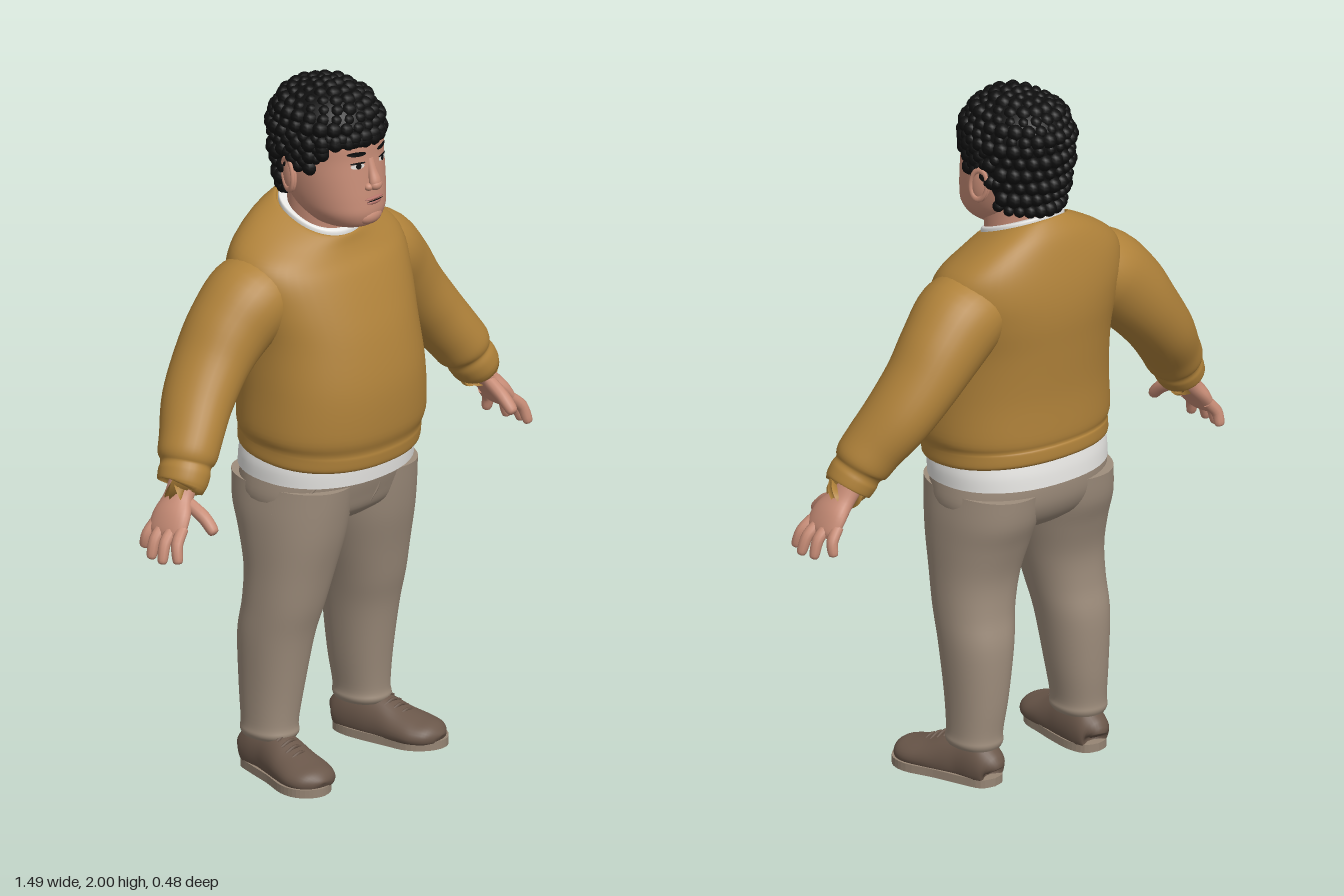
import * as THREE from 'three';
import { mergeGeometries } from 'three/addons/utils/BufferGeometryUtils.js';

const mat = (name, color, side = THREE.FrontSide) => {
  const m = new THREE.MeshStandardMaterial({ color, side });
  m.name = name;
  return m;
};
const V = (x, y, z) => new THREE.Vector3(x, y, z);

// Catmull-Rom interpolation of whole rows of numbers
function smooth(rows, n = 5) {
  const out = [], last = rows.length - 1;
  const at = i => rows[Math.max(0, Math.min(last, i))];
  for (let i = 0; i < last; i++) {
    for (let k = 0; k < n; k++) {
      const t = k / n, [a, b, c, d] = [at(i - 1), at(i), at(i + 1), at(i + 2)];
      out.push(b.map((q, j) => 0.5 * (2 * q + (c[j] - a[j]) * t
        + (2 * a[j] - 5 * q + 4 * c[j] - d[j]) * t * t + (3 * q - a[j] - 3 * c[j] + d[j]) * t ** 3)));
    }
  }
  out.push(rows[last]);
  return out;
}

// Surface through closed rings, with flat caps on both ends
function skinRings(rings) {
  const seg = rings[0].length, pos = [], idx = [];
  const add = p => pos.push(p.x, p.y, p.z) / 3 - 1;
  rings.forEach(r => r.forEach(add));
  for (let j = 0; j < rings.length - 1; j++) for (let i = 0; i < seg; i++) {
    const a = j * seg + i, b = j * seg + (i + 1) % seg;
    idx.push(a, b, b + seg, a, b + seg, a + seg);
  }
  [rings[0], rings[rings.length - 1]].forEach((r, end) => {
    const first = pos.length / 3;
    r.forEach(add);
    const c = add(r.reduce((s, p) => s.add(p), V(0, 0, 0)).divideScalar(seg));
    for (let i = 0; i < seg; i++) {
      const a = first + i, b = first + (i + 1) % seg;
      end ? idx.push(a, b, c) : idx.push(b, a, c);
    }
  });
  const g = new THREE.BufferGeometry();
  g.setAttribute('position', new THREE.Float32BufferAttribute(pos, 3));
  g.setIndex(idx);
  g.computeVertexNormals();
  return g;
}

const power = (c, e) => Math.sign(c) * Math.abs(c) ** (2 / e);

// Upright form; rows are [y, centreX, halfWidth, frontZ, backZ, tilt]
function tower(rows, e = 2.2, seg = 48) {
  return skinRings(smooth(rows).map(([y, cx, rx, zf, zb, tilt]) => Array.from({ length: seg }, (_, i) => {
    const a = i / seg * Math.PI * 2, dz = (zf - zb) / 2 * power(Math.cos(a), e);
    return V(cx + rx * power(Math.sin(a), e), y + tilt * dz, (zf + zb) / 2 + dz);
  })));
}

// Form along a path; rows are [x, y, z, radius along ref, radius across]
function limb(rows, { ref = V(0, 0, 1), seg = 24, floor = -1, n = 5 } = {}) {
  const s = smooth(rows, n), c = s.map(r => V(r[0], r[1], r[2]));
  return skinRings(s.map((r, j) => {
    const T = c[Math.min(j + 1, c.length - 1)].clone().sub(c[Math.max(j - 1, 0)]).normalize();
    const W = ref.clone().addScaledVector(T, -ref.dot(T)).normalize();
    const N = T.clone().cross(W);
    return Array.from({ length: seg }, (_, i) => {
      const a = i / seg * Math.PI * 2;
      const p = c[j].clone().addScaledVector(W, r[3] * Math.cos(a)).addScaledVector(N, r[4] * Math.sin(a));
      p.y = Math.max(p.y, floor);
      return p;
    });
  }));
}

const finger = (a, b, c, r) => limb([[...a, r, r], [...b, r, r], [...c, r * 0.85, r * 0.85],
  [...c.map((q, i) => q + (c[i] - b[i]) * 0.2), r * 0.3, r * 0.3]], { seg: 10, n: 4 });

const ball = (x, y, z, rx, ry, rz) => new THREE.SphereGeometry(1, 20, 14).scale(rx, ry, rz).translate(x, y, z);

const headRows = [[1.595, 0, 0.05, 0.125, 0, 0], [1.607, 0, 0.08, 0.155, -0.04, 0], [1.64, 0, 0.107, 0.17, -0.08, 0],
  [1.68, 0, 0.12, 0.169, -0.11, 0], [1.74, 0, 0.128, 0.163, -0.13, 0], [1.80, 0, 0.13, 0.157, -0.14, 0],
  [1.86, 0, 0.131, 0.153, -0.145, 0], [1.92, 0, 0.11, 0.12, -0.12, 0], [1.955, 0, 0.05, 0.05, -0.06, 0]];
const headFine = smooth(headRows, 16);

// Depth of the face at a given x and y
function faceZ(x, y) {
  const [, , rx, zf, zb] = headFine.find(r => r[0] >= y);
  return (zf + zb) / 2 + (zf - zb) / 2 * (1 - Math.abs(x / rx) ** 2.2) ** (1 / 2.2);
}

// Thin oval lying on the face
function faceOval(x, y, w, h, turn = 0, lift = 0.003) {
  const g = new THREE.CircleGeometry(1, 20).scale(w, h, 1).rotateZ(turn).translate(x, y, 0), p = g.attributes.position;
  for (let i = 0; i < p.count; i++) p.setZ(i, faceZ(p.getX(i), p.getY(i)) + lift);
  g.computeVertexNormals();
  return g;
}

// Point on the hair: angle a from the front, t from crown (0) to hairline (1)
function hairPoint(a, t) {
  const b = Math.abs(Math.atan2(Math.sin(a), Math.cos(a))), S = THREE.MathUtils.smoothstep;
  const line = 1.862 - 0.075 * S(b, 0.8, 1.2) - 0.1 * S(b, 1.65, 2.0);
  let y, s;
  if (t < 0.6) {
    const f = t / 0.6 * Math.PI / 2;
    y = 1.87 + 0.118 * Math.cos(f);
    s = Math.sin(f);
  } else {
    y = 1.87 + (line - 1.87) * (t - 0.6) / 0.4;
    s = 1 - 0.18 * ((1.87 - y) / 0.19) ** 2;
  }
  return V(0.142 * s * Math.sin(a), y, -0.012 + 0.163 * s * Math.cos(a));
}

function hairGeometry() {
  const rings = [];
  for (let j = 24; j >= 1; j--) rings.push(Array.from({ length: 48 }, (_, i) => hairPoint(i / 48 * Math.PI * 2, j / 24)));
  const parts = [skinRings(rings).toNonIndexed()];
  for (let j = 0; j <= 12; j++) {
    const t = j / 12, count = Math.max(1, Math.round(26 * Math.min(1, Math.sin(Math.min(t / 0.6, 1) * Math.PI / 2))));
    for (let i = 0; i < count; i++) {
      const p = hairPoint((i + (j % 2) / 2) / count * Math.PI * 2, t), r = 0.02 + 0.004 * Math.sin(i * 7 + j * 3);
      const g = new THREE.SphereGeometry(r, 9, 7).toNonIndexed();
      parts.push(g.translate(p.x * 0.97, p.y - 0.008, p.z * 0.97));
    }
  }
  parts.forEach(g => g.deleteAttribute('uv'));
  return mergeGeometries(parts);
}

export function createModel() {
  const model = new THREE.Group();
  model.name = 'standingMan';
  const sweater = mat('mustard knit', 0xb0823a), shirt = mat('white cotton', 0xe6e5e2), trousers = mat('taupe cloth', 0x9e8d7c),
    leather = mat('brown leather', 0x6a574a), rubber = mat('tan rubber', 0x968574), skin = mat('skin', 0xc88d77),
    black = mat('black hair', 0x0e0e0e), lip = mat('lips', 0xb5746a), white = mat('eye white', 0xe2dcd6);
  const add = (name, geo, m, parent = model) => {
    const mesh = new THREE.Mesh(geo, m);
    mesh.name = name;
    parent.add(mesh);
  };

  // Torso clothing
  add('sweaterBody', tower([[0.935, 0, 0.258, 0.205, -0.21, -0.1], [0.945, 0, 0.267, 0.22, -0.222, -0.1],
    [0.975, 0, 0.268, 0.225, -0.222, -0.1], [0.99, 0, 0.27, 0.225, -0.218, -0.08], [1.03, 0, 0.28, 0.238, -0.222, -0.03],
    [1.15, 0, 0.274, 0.238, -0.222, 0], [1.28, 0, 0.27, 0.212, -0.232, 0], [1.38, 0, 0.285, 0.176, -0.24, 0],
    [1.46, 0, 0.295, 0.137, -0.236, 0], [1.52, 0, 0.275, 0.108, -0.22, -0.12], [1.57, 0, 0.205, 0.092, -0.195, -0.28],
    [1.605, 0, 0.125, 0.083, -0.16, -0.4], [1.603, 0, 0.112, 0.074, -0.15, -0.4]]), sweater);
  add('shirtHem', tower([[0.88, 0, 0.262, 0.198, -0.222, -0.04], [0.92, 0, 0.262, 0.2, -0.218, -0.04], [0.96, 0, 0.255, 0.2, -0.21, -0.04]]), shirt);
  add('shirtCollar', tower([[1.57, 0, 0.112, 0.076, -0.145, -0.4], [1.61, 0, 0.112, 0.078, -0.145, -0.4], [1.617, 0, 0.106, 0.072, -0.138, -0.4]]), shirt);
  add('trouserHips', tower([[0.735, 0, 0.17, 0.1, -0.13, 0], [0.77, 0, 0.24, 0.145, -0.175, 0],
    [0.82, 0, 0.266, 0.165, -0.202, 0], [0.88, 0, 0.262, 0.182, -0.21, 0], [0.93, 0, 0.25, 0.185, -0.205, 0]]), trousers);
  add('fly', new THREE.TubeGeometry(new THREE.CatmullRomCurve3([V(0.014, 0.88, 0.18), V(0.016, 0.83, 0.167), V(0, 0.79, 0.152)]), 12, 0.004, 6), trousers);

  // Head
  const head = new THREE.Group();
  head.name = 'head';
  model.add(head);
  add('neck', tower([[1.5, 0, 0.105, 0.06, -0.13, 0], [1.58, 0, 0.1, 0.066, -0.118, 0], [1.64, 0, 0.099, 0.075, -0.115, 0], [1.72, 0, 0.1, 0.08, -0.12, 0]]), skin, head);
  add('face', tower(headRows), skin, head);
  add('noseBridge', limb([[0, 1.80, 0.15, 0.01, 0.012], [0, 1.765, 0.161, 0.012, 0.014], [0, 1.735, 0.171, 0.016, 0.019], [0, 1.72, 0.171, 0.012, 0.016]]), skin, head);
  add('noseTip', ball(0, 1.727, 0.172, 0.02, 0.016, 0.018), skin, head);
  add('chin', ball(0, 1.632, 0.148, 0.045, 0.026, 0.026), skin, head);
  add('upperLip', ball(0, 1.687, 0.167, 0.034, 0.005, 0.007), lip, head);
  add('lowerLip', ball(0, 1.676, 0.167, 0.028, 0.007, 0.009), lip, head);
  add('mouthLine', faceOval(0, 1.682, 0.034, 0.0018, 0, 0.006), black, head);
  add('curlyHair', hairGeometry(), black, head);

  for (const s of [1, -1]) {
    const side = new THREE.Group();
    side.name = s > 0 ? 'leftSide' : 'rightSide';
    model.add(side);
    const put = (name, geo, m) => add(name, geo, m, side);
    const flip = rows => rows.map(([x, ...rest]) => [x * s, ...rest]);

    // Face details
    put('nostril', ball(0.019 * s, 1.723, 0.164, 0.013, 0.011, 0.013), skin);
    put('eyeWhite', faceOval(0.049 * s, 1.788, 0.02, 0.008), white);
    put('iris', faceOval(0.048 * s, 1.788, 0.008, 0.0078, 0, 0.0045), black);
    put('eyelid', faceOval(0.049 * s, 1.797, 0.023, 0.003, 0, 0.005), black);
    put('eyebrow', faceOval(0.05 * s, 1.823, 0.028, 0.007, 0.06 * s), black);
    const ear = ball(0, 0, 0, 0.014, 0.053, 0.03).rotateX(-0.15).rotateY(0.3 * s).translate(0.138 * s, 1.748, -0.02);
    put('ear', ear, skin);
    const rim = new THREE.TorusGeometry(0.026, 0.006, 8, 24).scale(1, 1.7, 1).rotateY(Math.PI / 2).rotateX(-0.15);
    put('earRim', rim.rotateY(0.3 * s).translate(0.147 * s, 1.75, -0.02), skin);

    // Sleeve with gathered cuff
    put('sleeve', limb(flip([[0.17, 1.43, -0.06, 0.12, 0.095], [0.25, 1.40, -0.065, 0.13, 0.122], [0.33, 1.33, -0.075, 0.12, 0.116],
      [0.40, 1.25, -0.075, 0.112, 0.1], [0.47, 1.165, -0.06, 0.105, 0.09], [0.53, 1.085, -0.03, 0.092, 0.082],
      [0.562, 1.038, -0.015, 0.085, 0.079], [0.574, 1.018, -0.01, 0.073, 0.067], [0.586, 0.998, -0.005, 0.075, 0.069],
      [0.602, 0.972, 0, 0.071, 0.065], [0.604, 0.969, 0, 0.06, 0.055]]), { seg: 32 }), sweater);

    // Hand
    put('palm', limb(flip([[0.585, 0.99, 0, 0.045, 0.038], [0.62, 0.94, 0.005, 0.046, 0.031], [0.655, 0.9, 0.012, 0.062, 0.028],
      [0.68, 0.86, 0.017, 0.062, 0.022], [0.69, 0.842, 0.018, 0.045, 0.012]])), skin);
    [[-0.034, 0.698, 0.808, -0.05], [-0.001, 0.724, 0.796, 0], [0.034, 0.73, 0.795, 0.046], [0.064, 0.714, 0.8, 0.088]].forEach(([z, x, y, tz], i) =>
      put('finger' + (i + 1), finger([0.668 * s, 0.875, z], [(0.69 + (x - 0.69) * 0.55) * s, 0.842, (z + tz) / 2], [x * s, y, tz], 0.0165), skin));
    put('thumb', finger([0.615 * s, 0.93, 0.035], [0.61 * s, 0.9, 0.09], [0.61 * s, 0.868, 0.125], 0.019), skin);

    // Trouser leg
    put('trouserLeg', tower([[0.105, 0.188, 0.066, 0.028, -0.128, 0], [0.12, 0.188, 0.073, 0.036, -0.134, 0], [0.15, 0.187, 0.071, 0.033, -0.133, 0],
      [0.25, 0.18, 0.081, 0.045, -0.143, 0], [0.4, 0.173, 0.097, 0.07, -0.148, 0], [0.5, 0.164, 0.107, 0.097, -0.134, 0],
      [0.6, 0.152, 0.118, 0.12, -0.135, 0], [0.7, 0.141, 0.13, 0.145, -0.163, 0], [0.78, 0.135, 0.134, 0.16, -0.193, 0],
      [0.86, 0.13, 0.13, 0.172, -0.205, 0]].map(([y, x, ...r]) => [y, x * s, ...r])), trousers);
    put('pocketSeam', new THREE.TubeGeometry(new THREE.CatmullRomCurve3([V(0.19 * s, 0.88, 0.132), V(0.225 * s, 0.83, 0.095), V(0.262 * s, 0.79, 0.025)]), 14, 0.004, 6), trousers);

    // Shoe: upper, laces and sole
    put('shoeUpper', limb(flip([[0.185, 0.045, -0.132, 0.02, 0.02], [0.186, 0.05, -0.125, 0.05, 0.046], [0.188, 0.05, -0.09, 0.08, 0.056],
      [0.194, 0.05, -0.03, 0.083, 0.06], [0.205, 0.045, 0.02, 0.076, 0.066], [0.217, 0.04, 0.075, 0.056, 0.075], [0.229, 0.035, 0.13, 0.044, 0.079],
      [0.236, 0.033, 0.17, 0.036, 0.064], [0.24, 0.03, 0.192, 0.022, 0.036], [0.241, 0.028, 0.198, 0.01, 0.012]]),
      { ref: V(0, 1, 0), floor: 0.02, seg: 32 }), leather);
    for (let k = 0; k < 4; k++) {
      const x = 0.204 + k * 0.005, y = 0.124 - k * 0.0105, z = 0.022 + k * 0.022;
      put('lace', new THREE.TubeGeometry(new THREE.CatmullRomCurve3([V((x - 0.034) * s, y - 0.013, z), V(x * s, y, z + 0.004), V((x + 0.034) * s, y - 0.013, z)]), 10, 0.005, 6), leather);
    }
    const outline = [[0.187, -0.137], [0.228, -0.122], [0.252, -0.06], [0.277, 0.02], [0.308, 0.1], [0.306, 0.155], [0.275, 0.193],
      [0.237, 0.203], [0.193, 0.185], [0.158, 0.14], [0.146, 0.07], [0.136, 0], [0.132, -0.07], [0.148, -0.122]];
    const curve = new THREE.SplineCurve([...outline, outline[0]].map(([x, z]) => new THREE.Vector2(x * s, z)));
    const sole = new THREE.ExtrudeGeometry(new THREE.Shape(curve.getPoints(56).slice(0, -1)), { depth: 0.024, bevelEnabled: false });
    put('shoeSole', sole.rotateX(Math.PI / 2).translate(0, 0.024, 0), rubber);
  }
  return model;
}
